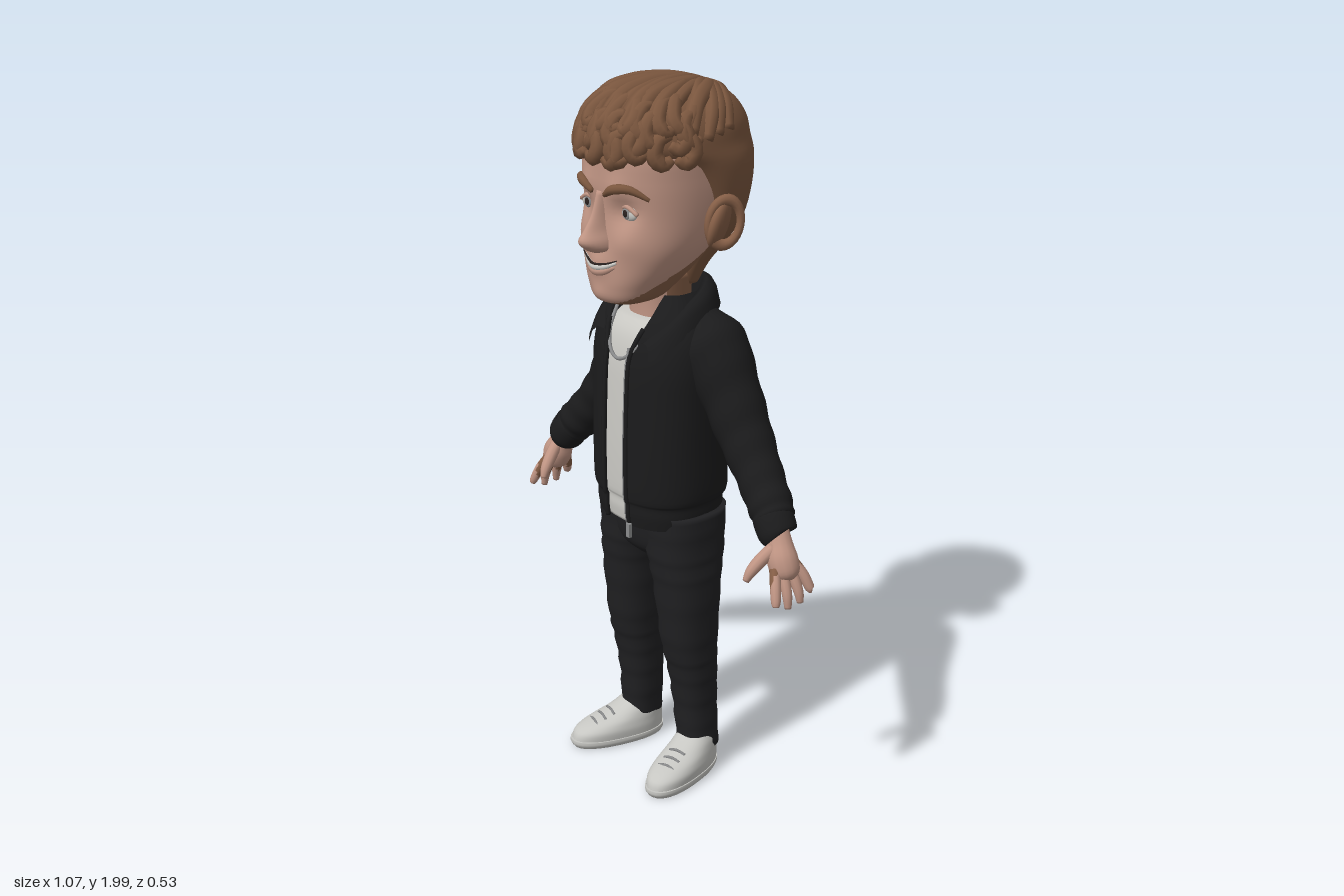
import * as THREE from 'three';

const mat = (name, color, side = THREE.FrontSide) => {
  const m = new THREE.MeshStandardMaterial({ color, side });
  m.name = name;
  return m;
};
const V = (x, y, z) => new THREE.Vector3(x, y, z);
const C = -0.015; // centre line of the body

// Surface through rows of points
function grid(rows, closed) {
  const n = rows[0].length, idx = [];
  for (let j = 0; j < rows.length - 1; j++)
    for (let i = 0; i < (closed ? n : n - 1); i++) {
      const a = j * n + i, b = j * n + (i + 1) % n;
      idx.push(a, a + n, b, b, a + n, b + n);
    }
  const g = new THREE.BufferGeometry().setFromPoints(rows.flat());
  g.setIndex(idx);
  g.computeVertexNormals();
  return g;
}

// Catmull-Rom through equal-length number rows
function smooth(keys, steps) {
  const out = [], k = i => keys[Math.min(Math.max(i, 0), keys.length - 1)];
  for (let i = 0; i < keys.length - 1; i++)
    for (let s = 0; s < steps; s++) {
      const t = s / steps;
      out.push(keys[i].map((_, c) => {
        const [p, a, b, q] = [k(i - 1)[c], k(i)[c], k(i + 1)[c], k(i + 2)[c]];
        return a + 0.5 * t * (b - p + t * (2 * p - 5 * a + 4 * b - q + t * (3 * (a - b) + q - p)));
      }));
    }
  out.push(keys[keys.length - 1]);
  return out;
}

// Horizontal rings [y, cx, cz, rx, zFront, zBack], bottom to top; open(y) leaves a gap in front
const spow = (v, p) => Math.sign(v) * Math.abs(v) ** p;
function loft(keys, { steps = 4, n = 36, e = 2.4, open = null } = {}) {
  const rings = smooth(keys, steps);
  const rows = rings.map(([y, cx, cz, rx, zf, zb]) => {
    const ang = x => Math.acos(THREE.MathUtils.clamp(spow((x - cx) / rx, e / 2), -1, 1));
    const [a, b] = open ? [ang(open(y)[0]), ang(open(y)[1]) + 2 * Math.PI] : [0, 2 * Math.PI];
    return Array.from({ length: n }, (_, i) => {
      const t = a + (b - a) * i / (open ? n - 1 : n), s = spow(Math.sin(t), 2 / e);
      return V(cx + rx * spow(Math.cos(t), 2 / e), y, cz + s * (s > 0 ? zf - cz : cz - zb));
    });
  });
  if (!open) {
    const cap = r => Array.from({ length: n }, () => V(r[1], r[0], r[2]));
    rows.unshift(cap(rings[0]));
    rows.push(cap(rings[rings.length - 1]));
  }
  return grid(rows, !open);
}

// Round limb through [x, y, z, radius] points
function limb(keys, { n = 14, steps = 4, fold = 0 } = {}) {
  const pts = smooth(keys, steps);
  const m = pts.length - 1;
  const P = pts.map(p => V(p[0], p[1], p[2]));
  let N = V(0, 0, 1);
  const rows = P.map((p, j) => {
    const T = P[Math.min(j + 1, m)].clone().sub(P[Math.max(j - 1, 0)]).normalize();
    if (Math.abs(N.dot(T)) > 0.95) N = V(1, 0, 0);
    N = N.clone().addScaledVector(T, -N.dot(T)).normalize();
    const B = T.clone().cross(N);
    return Array.from({ length: n }, (_, i) => {
      const a = i / n * 2 * Math.PI, r = pts[j][3] + fold * Math.sin(j * 1.3 + 1.5 * Math.sin(a));
      return p.clone().addScaledVector(N, r * Math.cos(a)).addScaledVector(B, -r * Math.sin(a));
    });
  });
  rows.unshift(Array.from({ length: n }, () => P[0].clone()));
  rows.push(Array.from({ length: n }, () => P[m].clone()));
  return grid(rows, true);
}

// Split triangles into two material groups by a rule on their centre
function paint(g, rule) {
  const p = g.attributes.position, sets = [[], []], ix = g.index.array;
  for (let i = 0; i < ix.length; i += 3) {
    const t = [ix[i], ix[i + 1], ix[i + 2]];
    const c = f => (f(t[0]) + f(t[1]) + f(t[2])) / 3;
    sets[rule(c(k => p.getX(k)), c(k => p.getY(k)), c(k => p.getZ(k))) ? 1 : 0].push(...t);
  }
  g.setIndex([...sets[0], ...sets[1]]);
  g.addGroup(0, sets[0].length, 0);
  g.addGroup(sets[0].length, sets[1].length, 1);
  return g;
}

export function createModel() {
  const root = new THREE.Group();
  const skin = mat('skin', 0xc09584), tan = mat('shaded skin', 0x865f47), hair = mat('hair brown', 0x7a563e);
  const black = mat('jacket black', 0x1b1b1c, THREE.DoubleSide), denim = mat('trouser black', 0x202022);
  const white = mat('shirt white', 0xcbcac5), shoeMat = mat('shoe white', 0xc6c6c2);
  const metal = mat('metal grey', 0x8a8b8c), dark = mat('dark', 0x2a211f);
  const add = (name, g, m, parent = root) => {
    const o = new THREE.Mesh(g, m);
    o.name = name;
    parent.add(o);
    return o;
  };
  const ball = (name, m, p, s) => {
    const o = add(name, new THREE.SphereGeometry(1, 24, 16), m);
    o.position.set(...p);
    o.scale.set(...s);
    return o;
  };

  // Head with sculpted brow, sockets, cheeks, lips and chin
  const headKeys = [[1.412, .04, .15, .05], [1.43, .08, .192, .01], [1.47, .108, .203, -.04], [1.52, .138, .203, -.09],
    [1.58, .163, .2, -.14], [1.66, .174, .195, -.19], [1.75, .178, .198, -.22], [1.84, .172, .19, -.22], [1.92, .12, .13, -.16]]
    .map(([y, rx, f, b]) => [y, C, (f + b) / 2, rx, f, b]);
  const bump = (x, y) => [[.078, 1.675, .035, -.016], [.09, 1.595, .04, .008], [.06, 1.73, .035, .008], [0, 1.445, .03, .008], [0, 1.53, .035, .012]]
    .reduce((s, [bx, by, w, h]) => s + h * Math.exp(-((Math.abs(x - C) - bx) ** 2 + (y - by) ** 2) / (w * w)), 0);
  const headRings = smooth(headKeys, 6);
  const faceZ = (x, y) => {
    const [, cx, cz, rx, zf] = headRings.reduce((a, b) => Math.abs(a[0] - y) < Math.abs(b[0] - y) ? a : b);
    return cz + (zf - cz) * (1 - Math.min(1, Math.abs((x - cx) / rx)) ** 2.4) ** (1 / 2.4) + bump(x, y);
  };
  const headGeo = loft(headKeys, { steps: 6, n: 80 });
  const hp = headGeo.attributes.position;
  for (let i = 0; i < hp.count; i++)
    if (hp.getZ(i) > .06) hp.setZ(i, hp.getZ(i) + bump(hp.getX(i), hp.getY(i)));
  headGeo.computeVertexNormals();
  add('head', paint(headGeo, (x, y, z) => y < 1.435 + .55 * (.17 - z)), [skin, tan]);
  add('neck', paint(loft([[1.28, C, -.01, .085, .08, -.1], [1.38, C, 0, .074, .075, -.085], [1.48, C, 0, .078, .085, -.09]]),
    (x, y, z) => z < .03), [skin, tan]);

  // Nose
  add('nose', loft([[1.562, C, .19, .018, .222, .15], [1.572, C, .19, .036, .243, .15], [1.595, C, .19, .036, .264, .15],
    [1.625, C, .18, .024, .246, .15], [1.665, C, .17, .018, .222, .15], [1.72, C, .16, .018, .205, .15]], { n: 28, e: 2 }), skin);

  // Smile
  const mouth = (name, m, w, y0, r, lift) => add(name, limb([-1, -.5, 0, .5, 1].map(t => {
    const x = C + t * w, y = y0 + .018 * t * t;
    return [x, y, faceZ(x, y) + lift, r * (1.15 - .7 * t * t)];
  }), { n: 10 }), m);
  mouth('lowerLip', skin, .055, 1.512, .011, -.002);
  mouth('teeth', white, .062, 1.524, .008, .001);
  mouth('upperLipLine', dark, .068, 1.532, .003, .005);

  for (const s of [-1, 1]) {
    // Eyes and brows
    const ex = C + s * .078, ez = faceZ(ex, 1.67);
    ball('eyeWhite', white, [ex, 1.672, ez - .002], [.032, .02, .011]);
    ball('iris', metal, [ex, 1.673, ez + .006], [.015, .016, .005]);
    ball('pupil', dark, [ex, 1.673, ez + .009], [.009, .01, .004]);
    add('upperLid', limb([-1, 0, 1].map(t => [ex + t * .036, 1.69 - .017 * t * t, ez + .005 - .006 * t * t, .006]), { n: 8 }), skin);
    add('eyebrow', limb([[.025, 1.715, .007], [.06, 1.735, .013], [.1, 1.737, .011], [.135, 1.712, .005]].map(([x, y, r]) =>
      [C + s * x, y, faceZ(C + s * x, y) + .002, r]), { n: 10 }), hair);
    // Ears
    const ear = ball('ear', tan, [C + s * .185, 1.63, -.045], [.022, .066, .044]);
    ear.rotation.set(-.2, s * .45, -s * .15);
    const rim = add('earRim', new THREE.TorusGeometry(.05, .013, 10, 28), tan);
    rim.position.set(C + s * .2, 1.635, -.05);
    rim.scale.set(.85, 1.2, 1);
    rim.rotation.set(0, s * 1.1, -s * .15);
  }

  // Hair: smooth back and sides, domed top
  const rho = y => (1 - THREE.MathUtils.clamp((y - 1.78) / .19, 0, .99) ** 2.8) ** (1 / 2.8);
  const dome = [1.83, 1.88, 1.93, 1.96, 1.968].map(y => [y, C, -.015, .19 * rho(y), -.015 + .232 * rho(y), -.015 - .245 * rho(y)]);
  add('hairBase', loft([[1.44, C, -.06, .07, -.02, -.105], [1.5, C, -.06, .105, -.01, -.13], [1.56, C, -.07, .145, 0, -.18],
    [1.62, C, -.08, .172, .02, -.225], [1.7, C, -.08, .187, .05, -.252], [1.78, C, -.06, .193, .11, -.262], ...dome], { n: 64, e: 2.1 }), hair);

  // Swept locks from crown to fringe and sides
  let seed = 7;
  const rnd = () => (seed = seed * 16807 % 2147483647) / 2147483647 - .5;
  const locks = new THREE.Group();
  locks.name = 'hairLocks';
  root.add(locks);
  const onDome = (u, v, r) => [C + .188 * u, 1.78 + .187 * Math.max(0, 1 - Math.hypot(u, v) ** 2.8) ** (1 / 2.8), -.015 + .232 * v, r];
  for (let i = 0; i < 21; i++) {
    const az = -1.9 + 3.8 * i / 20 + rnd() * .1, w = rnd() * .16, r = .02 + rnd() * .008;
    add('sweptLock', limb([0, .2, .4, .6, .8, 1].map(t => {
      const k = t ** .75;
      return onDome(Math.sin(az) * .96 * k + w * Math.sin(t * 6), -.6 + (Math.cos(az) * .96 + .6) * t, r * (.55 + 1.7 * t * (1.15 - t)));
    }), { n: 8 }), hair, locks);
  }
  // Short curls over the forehead
  for (let row = 0; row < 3; row++)
    for (let i = 0; i < 11; i++) {
      const a0 = (i - 5 + (row % 2) * .5) * .24 + rnd() * .12, y0 = 1.835 + row * .034 + rnd() * .02, d = rnd() > 0 ? 1 : -1;
      add('curl', limb([[-.08, .045, .012], [.07, .035, .021], [.12, 0, .023], [.02, -.025, .021], [-.09, -.012, .012]].map(([a, dy, r]) => {
        const y = y0 + dy, q = rho(y);
        return [C + .19 * q * Math.sin(a0 + a * d), y, -.015 + .232 * q * Math.cos(a0 + a * d), r];
      }), { n: 8, steps: 3 }), hair, locks);
    }

  // Open jacket over shirt
  const coat = [[.785, .172, .143, -.15], [.82, .177, .148, -.155], [.85, .178, .148, -.156], [.875, .19, .154, -.166], [1, .193, .155, -.163],
    [1.15, .196, .15, -.165], [1.25, .198, .143, -.158], [1.33, .185, .122, -.145], [1.39, .145, .09, -.13], [1.43, .105, .06, -.115]]
    .map(([y, rx, f, b]) => [y, C, 0, rx, f, b]);
  const gap = y => {
    const k = THREE.MathUtils.smoothstep(y, 1.25, 1.4) * .035;
    return [-.067 - k, .027 + k];
  };
  add('jacketBody', loft(coat, { open: gap, n: 56 }), black);
  add('shirt', loft([...coat.slice(0, 7).map(([y, c, z, rx, f, b]) => [y, c, z, rx - .014, f - .012, b + .014]),
    [1.32, C, 0, .15, .115, -.12], [1.365, C, 0, .1, .088, -.1]]), white);
  const coatRings = smooth(coat, 4);
  const frontZ = (x, ring) => ring[4] * (1 - Math.abs((x - C) / ring[3]) ** 2.4) ** (1 / 2.4);
  [0, 1].forEach(k => add('jacketFrontEdge', limb(coatRings.filter(r => r[0] < 1.36).map(r =>
    [gap(r[0])[k], r[0], frontZ(gap(r[0])[k], r), .007]), { n: 8, steps: 1 }), black));
  add('zip', limb(coatRings.filter(r => r[0] < 1.3).map(r => [.021, r[0], frontZ(.021, r) + .002, .004]), { n: 6, steps: 1 }), metal);
  add('zipPull', new THREE.BoxGeometry(.014, .04, .01), metal).position.set(.035, .775, .15);

  // Folded collar
  const collarIn = [[0, 1.455, -.118], [.06, 1.452, -.1], [.105, 1.43, -.04], [.112, 1.395, .03], [.092, 1.345, .09], [.07, 1.31, .122]];
  const collarOut = [[0, 1.39, -.148], [.09, 1.385, -.135], [.155, 1.375, -.06], [.17, 1.345, .04], [.152, 1.295, .112], [.125, 1.27, .142]];
  for (const s of [-1, 1]) {
    const a = smooth(collarIn, 4), b = smooth(collarOut, 4);
    const rows = [0, .15, .4, .7, 1].map(t => a.map((p, i) => {
      const q = b[i], h = .025 * Math.sin(Math.PI * t);
      return V(C + s * (p[0] + (q[0] - p[0]) * t + h * .4 * Math.min(1, i / 4)), p[1] + (q[1] - p[1]) * t + h, p[2] + (q[2] - p[2]) * t);
    }));
    rows.unshift(a.map(p => V(C + s * p[0] * .85, p[1] - .07, p[2] * .85)));
    add('collar', grid(rows, false), black);
  }

  // Necklace
  add('necklace', limb([[-.1, 1.37, .075], [-.085, 1.32, .112], [-.055, 1.275, .136], [C - .005, 1.255, .141], [.025, 1.275, .138], [.055, 1.32, .112], [.07, 1.37, .075]]
    .map(p => [...p, .005]), { n: 8 }), metal);

  for (const s of [-1, 1]) {
    const side = pts => pts.map(([x, ...r]) => [s * x, ...r]);
    // Sleeve and cuff
    add('sleeve', limb(side([[.08, 1.36, -.04, .055], [.14, 1.29, -.045, .1], [.21, 1.19, -.05, .084], [.275, 1.08, -.05, .074],
      [.345, .99, -.04, .064], [.405, .925, -.025, .06], [.432, .897, -.016, .054]]), { n: 24, steps: 6, fold: .002 }), black);
    add('cuff', limb(side([[.42, .91, -.018, .05], [.428, .9, -.015, .055], [.452, .868, -.01, .053], [.457, .862, -.01, .044]]), { n: 24 }), black);
    // Hand
    add('palm', limb(side([[.445, .88, -.01, .032], [.465, .845, -.005, .034], [.48, .81, 0, .042], [.495, .775, 0, .038], [.5, .758, 0, .022]])), skin);
    for (let i = 0; i < 4; i++) {
      const z = .042 - i * .029, drop = [.705, .688, .692, .715][i];
      const f = limb(side([[.488, .79, z * .8, .014], [.508, .755, z * 1.15, .0145], [.522, .72, z * 1.4, .013], [.527, drop, z * 1.5, .009]]), { n: 10 });
      add('finger', paint(f, x => s * x < .505), [skin, tan]);
    }
    add('thumb', limb(side([[.465, .84, .015, .018], [.452, .808, .05, .018], [.443, .78, .075, .015], [.438, .755, .088, .009]]), { n: 10 }), skin);

    // Trouser leg
    const leg = smooth([[.075, .127, -.037, .053, .022, -.096], [.2, .12, -.035, .058, .028, -.092], [.32, .119, -.02, .065, .045, -.09], [.42, .117, -.01, .072, .068, -.09],
      [.6, .111, -.01, .084, .088, -.1], [.7, .1, -.01, .092, .1, -.118], [.82, .095, -.01, .094, .105, -.128]], 5);
    leg.forEach((r, i) => {
      const w = .0025 * Math.sin(i * 2.1);
      r[3] += w;
      r[4] += w;
      r[1] = C + s * r[1];
    });
    add('trouserLeg', loft(leg, { steps: 1 }), denim);

    // Shoe, toes turned out
    const shoe = new THREE.Group();
    shoe.name = 'shoe';
    shoe.position.set(C + s * .127, 0, -.035);
    shoe.rotation.y = s * .25;
    root.add(shoe);
    const ring = (y, rx, f, b) => [y, 0, .07, rx, f, b];
    add('sole', loft([ring(0, .058, .218, -.062), ring(.012, .064, .226, -.067), ring(.024, .064, .226, -.067)], { e: 2.3 }), shoeMat, shoe);
    add('shoeUpper', loft([ring(.02, .062, .222, -.064), ring(.045, .064, .212, -.064), [.065, 0, .05, .061, .175, -.063],
      [.085, 0, .02, .057, .115, -.062], [.105, 0, 0, .053, .075, -.06], [.122, 0, 0, .046, .05, -.054]], { e: 2.3 }), shoeMat, shoe);
    for (let i = 0; i < 3; i++)
      add('lace', limb([-1, 0, 1].map(t => [t * .026, .094 - i * .011 - .006 * t * t, .1 + i * .027, .004]), { n: 6 }), metal, shoe);
  }
  add('hips', loft([[.665, C, -.01, .06, .06, -.08], [.7, C, -.01, .15, .092, -.112], [.76, C, -.01, .184, .105, -.128], [.83, C, -.01, .175, .11, -.13]]), denim);

  return root;
}
